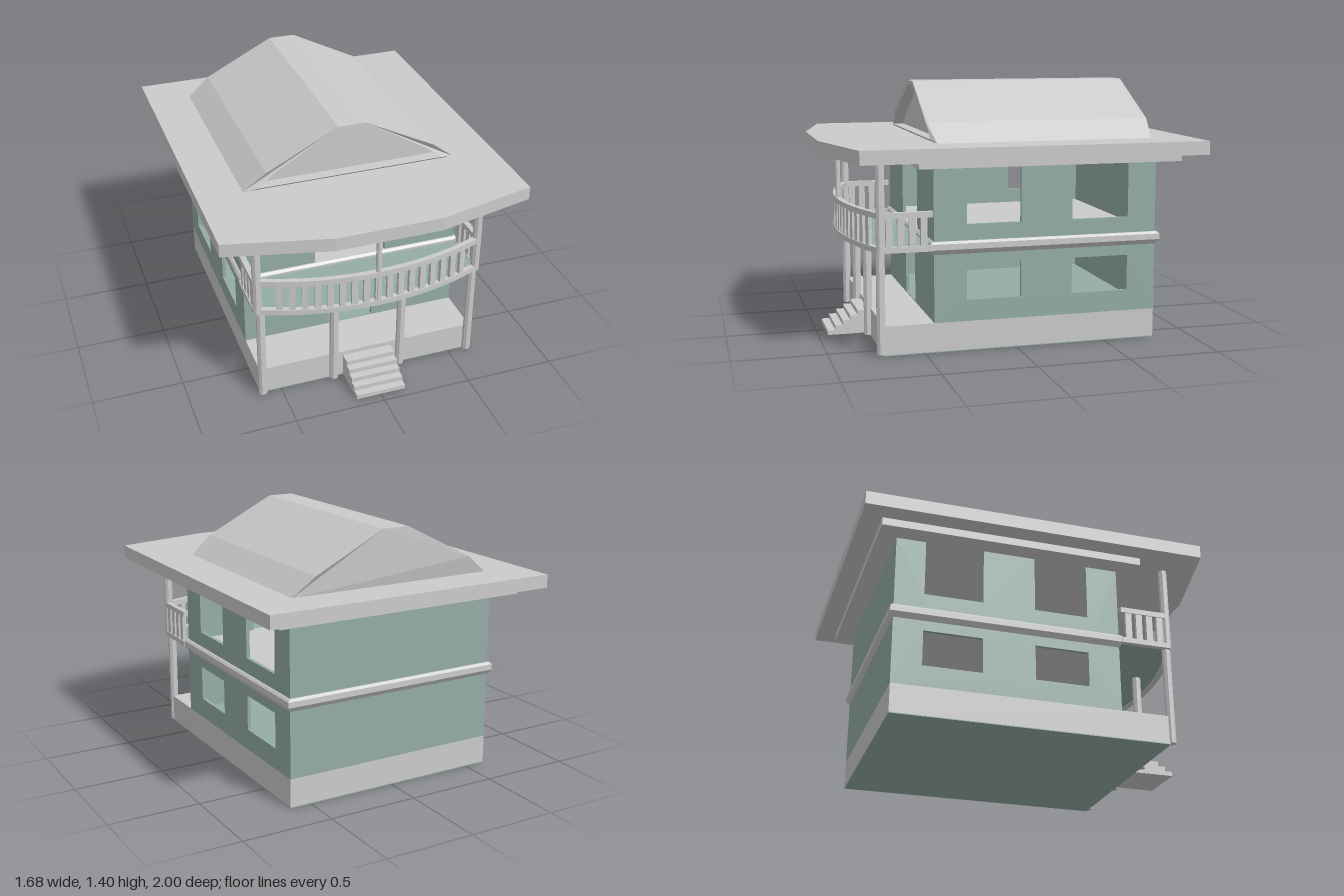
import * as THREE from 'three';

const grey = new THREE.MeshStandardMaterial({ color: 0xcccccc, flatShading: true });
const green = new THREE.MeshStandardMaterial({ color: 0x94ada6, flatShading: true });

function add(group, name, geometry, material = grey) {
  const mesh = new THREE.Mesh(geometry, material);
  mesh.name = name;
  group.add(mesh);
  return mesh;
}

// Box given by its limits on each axis
function block(x0, x1, y0, y1, z0, z1) {
  return new THREE.BoxGeometry(x1 - x0, y1 - y0, z1 - z0)
    .translate((x0 + x1) / 2, (y0 + y1) / 2, (z0 + z1) / 2);
}

function polygon(points) {
  return new THREE.Shape(points.map(([x, y]) => new THREE.Vector2(x, y)));
}

function rect(x0, x1, y0, y1) {
  return polygon([[x0, y0], [x1, y0], [x1, y1], [x0, y1]]);
}

function extrude(shape, depth) {
  return new THREE.ExtrudeGeometry(shape, { depth, bevelEnabled: false });
}

// Horizontal plate from a plan outline in x and z
function plate(points, y0, y1) {
  return extrude(polygon(points), y1 - y0).rotateX(Math.PI / 2).translate(0, y1, 0);
}

function wall(outline, holes, thickness) {
  outline.holes = holes;
  return extrude(outline, thickness);
}

// Bowed front line of the balcony, inset from its outer edge
const arcRadius = 1.608, arcCentre = -0.733;
function bow(inset, steps = 20) {
  const half = 0.645 - inset, r = arcRadius - inset, a = Math.asin(half / r);
  return Array.from({ length: steps + 1 }, (_, i) => {
    const t = -a + (2 * a * i) / steps;
    return [r * Math.sin(t), arcCentre + r * Math.cos(t)];
  });
}

function buildBase(house) {
  add(house, 'foundation', block(-0.62, 0.62, 0.005, 0.16, -0.79, 0.72));
  add(house, 'basePlate', block(-0.62, 0.62, 0, 0.005, -0.79, 0.72), green);
  add(house, 'groundFloor', block(-0.61, 0.61, 0.158, 0.164, -0.78, 0.44), green);
  // Front steps as one stair-shaped profile
  const profile = [[0.72, 0.005], [0.95, 0.005]];
  for (let i = 0; i < 5; i++) {
    const y = 0.03 + i * 0.0263, z = 0.95 - i * 0.042;
    profile.push([z, y], [i < 4 ? z - 0.042 : 0.72, y]);
  }
  add(house, 'frontSteps', extrude(polygon(profile), 0.28).rotateY(-Math.PI / 2).translate(0.14, 0, 0));
}

function buildWalls(house) {
  const t = 0.02;
  add(house, 'frontWall', wall(rect(-0.6, 0.6, 0.16, 1),
    [rect(-0.13, 0.13, 0.165, 0.535), rect(-0.21, 0.2, 0.59, 0.995)], t).translate(0, 0, 0.43), green);
  add(house, 'backWall', block(-0.6, 0.6, 0.16, 1, -0.79, -0.77), green);
  for (const x of [0.62, -0.6]) {
    const windows = [];
    for (const [z0, z1] of [[-0.025, 0.272], [-0.63, -0.312]]) {
      windows.push(rect(z0, z1, 0.275, 0.47), rect(z0, z1, 0.68, 0.995));
    }
    add(house, x > 0 ? 'leftWall' : 'rightWall',
      wall(rect(-0.79, 0.45, 0.16, 1), windows, t).rotateY(-Math.PI / 2).translate(x, 0, 0), green);
  }
  // Upper floor with a moulded edge all round
  const rows = [[0.525, 0], [0.552, 0.02], [0.583, 0.02], [0.595, 0.008]];
  const floor = new THREE.BoxGeometry(1, 3, 1, 1, 3, 1).toNonIndexed();
  const p = floor.attributes.position;
  for (let i = 0; i < p.count; i++) {
    const [y, out] = rows[Math.round(p.getY(i) + 1.5)];
    p.setXYZ(i, Math.sign(p.getX(i)) * (0.62 + out), y, -0.17 + Math.sign(p.getZ(i)) * (0.62 + out));
  }
  floor.computeVertexNormals();
  add(house, 'upperFloor', floor);
}

function buildBalcony(house) {
  const balcony = new THREE.Group();
  balcony.name = 'balcony';
  house.add(balcony);
  const outer = [[-0.645, 0.46], ...bow(0), [0.645, 0.46]];
  const inner = [[-0.615, 0.46], ...bow(0.03), [0.615, 0.46]];
  const band = [...outer, ...inner.slice().reverse()];
  add(balcony, 'balconyFloor', plate(inner, 0.556, 0.572), green);
  add(balcony, 'bottomRail', plate(band, 0.55, 0.58));
  add(balcony, 'topRail', plate(band, 0.73, 0.76));
  // Balusters along the bowed front
  for (let i = -8; i <= 8; i++) {
    const x = i * 0.0643, angle = Math.asin(x / (arcRadius - 0.015));
    const baluster = add(balcony, 'baluster', new THREE.BoxGeometry(0.034, 0.16, 0.02));
    baluster.position.set(x, 0.655, arcCentre + (arcRadius - 0.015) * Math.cos(angle));
    baluster.rotation.y = angle;
  }
  // Balusters along both sides
  for (const x of [-0.63, 0.63]) {
    for (let i = 0; i < 4; i++) {
      add(balcony, 'sideBaluster', new THREE.BoxGeometry(0.02, 0.16, 0.036))
        .position.set(x, 0.655, 0.505 + i * 0.061);
    }
  }
}

function buildPosts(house) {
  const post = (name, x, z, y0, y1, r) => {
    add(house, name, new THREE.CylinderGeometry(r, r, y1 - y0, 8).rotateY(Math.PI / 8))
      .position.set(x, (y0 + y1) / 2, z);
  };
  for (const x of [-0.607, -0.197, 0.193, 0.607]) post('porchPost', x, 0.732, 0.01, 0.56, 0.024);
  for (const x of [-0.622, 0.622]) post('balconyPost', x, 0.732, 0.55, 1.035, 0.024);
  post('middlePost', 0, 0.86, 0.55, 1.035, 0.015);
}

function buildRoof(house) {
  add(house, 'ceilingSlab', block(-0.73, 0.73, 0.99, 1.035, -0.89, 0.55));
  add(house, 'roofSlab', plate([[-0.838, -1], [0.838, -1], [0.838, 0.867], [0.285, 1], [-0.285, 1], [-0.838, 0.867]], 1.032, 1.105));
  // Raised roof: solid body with a framed, recessed front gable
  const half = [[0.6, 1.1], [0.47, 1.205], [0.075, 1.405]];
  const mirror = (pts) => polygon([...pts, ...pts.slice().reverse().map(([x, y]) => [-x, y])]);
  const frame = mirror(half);
  frame.holes = [mirror([[0.52, 1.12], [0.425, 1.195], [0.05, 1.387]])];
  const taper = (geometry) => {
    const p = geometry.attributes.position;
    for (let i = 0; i < p.count; i++) {
      const z = p.getZ(i);
      if (p.getY(i) < 1.11 && (z > 0.4 || z < -0.7)) p.setZ(i, z - Math.sign(z) * 0.022);
    }
    geometry.computeVertexNormals();
    return geometry;
  };
  add(house, 'upperRoof', taper(extrude(mirror(half), 1.17).translate(0, 0, -0.79)));
  add(house, 'gableFrame', taper(extrude(frame, 0.064).translate(0, 0, 0.38)));
}

export function createModel() {
  const house = new THREE.Group();
  house.name = 'house';
  buildBase(house);
  buildWalls(house);
  buildBalcony(house);
  buildPosts(house);
  buildRoof(house);
  return house;
}
